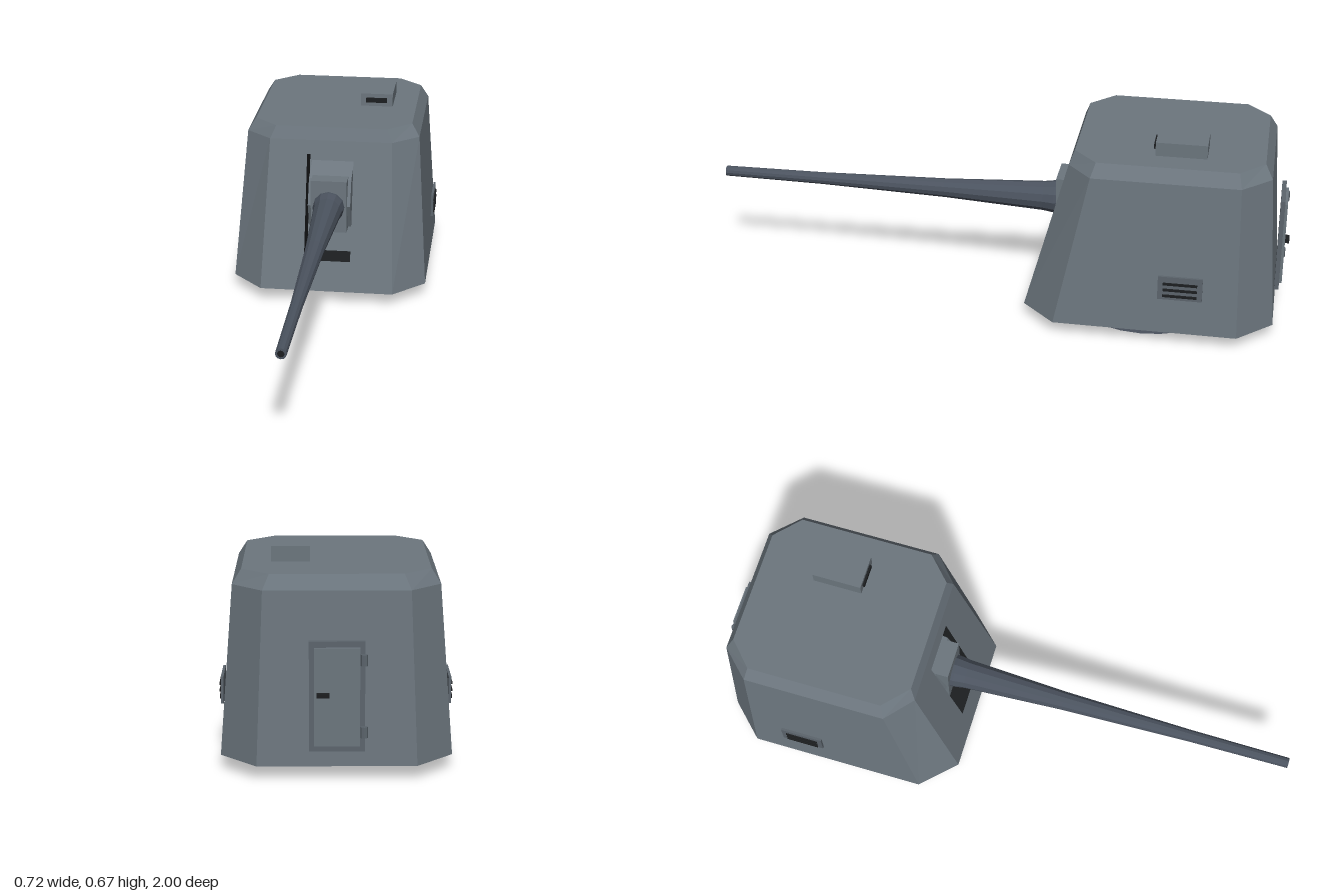
import * as THREE from 'three';

const material = (name, color) => {
  const m = new THREE.MeshStandardMaterial({ color, flatShading: true });
  m.name = name;
  return m;
};

// Flat triangles from quads whose corners run counter-clockwise from outside
function quadGeometry(quads) {
  const pos = [];
  for (const [a, b, c, d] of quads) pos.push(...a, ...b, ...c, ...a, ...c, ...d);
  const g = new THREE.BufferGeometry();
  g.setAttribute('position', new THREE.Float32BufferAttribute(pos, 3));
  g.computeVertexNormals();
  return g;
}

export function createModel() {
  const root = new THREE.Group();
  const armour = material('armour grey', 0x6c767e);
  const gun = material('gun steel', 0x4b535f);
  const fitting = material('fitting grey', 0x5c656d);
  const dark = material('dark opening', 0x1c1e20);

  const add = (name, geometry, mat, parent = root) => {
    const mesh = new THREE.Mesh(geometry, mat);
    mesh.name = name;
    parent.add(mesh);
    return mesh;
  };
  // Box given by its minimum and maximum corners
  const box = (name, mat, [x0, y0, z0], [x1, y1, z1], parent) => {
    const mesh = add(name, new THREE.BoxGeometry(x1 - x0, y1 - y0, z1 - z0), mat, parent);
    mesh.position.set((x0 + x1) / 2, (y0 + y1) / 2, (z0 + z1) / 2);
    return mesh;
  };

  // Turret ring
  const ring = add('baseRing', new THREE.CylinderGeometry(0.285, 0.297, 0.05, 28), gun);
  ring.position.set(0, 0.025, -0.527);

  // Gunhouse: three chamfered cross-sections
  const section = (y, side, cham, front, frontSide, back, backSide) => [
    [cham, y, front], [side, y, frontSide], [side, y, backSide], [cham, y, back],
    [-cham, y, back], [-side, y, backSide], [-side, y, frontSide], [-cham, y, front],
  ];
  const rings = [
    section(0.045, 0.352, 0.24, -0.12, -0.235, -0.965, -0.85),
    section(0.573, 0.313, 0.22, -0.263, -0.345, -0.93, -0.835),
    section(0.618, 0.285, 0.20, -0.28, -0.36, -0.905, -0.825),
  ];
  const quads = [];
  for (let k = 0; k < 2; k++) {
    for (let i = 0; i < 8; i++) {
      if (k === 0 && i === 7) continue; // front plate is cut separately
      const j = (i + 1) % 8;
      quads.push([rings[k][i], rings[k][j], rings[k + 1][j], rings[k + 1][i]]);
    }
  }
  for (const i of [0, 2, 4]) {
    const pick = (r) => [r[0], r[i + 1], r[i + 2], r[(i + 3) % 8]];
    quads.push(pick(rings[2]), pick(rings[0]).reverse());
  }
  add('gunhouse', quadGeometry(quads), armour);

  // Sloping front plate with the gun opening
  const slopeZ = (y) => -0.12 - (y - 0.045) * (0.143 / 0.528);
  const plate = new THREE.Shape([
    new THREE.Vector2(-0.24, 0.045), new THREE.Vector2(0.24, 0.045),
    new THREE.Vector2(0.22, 0.573), new THREE.Vector2(-0.22, 0.573),
  ]);
  const opening = [[-0.084, 0.152], [0.084, 0.152], [0.084, 0.524], [-0.084, 0.524]];
  plate.holes.push(new THREE.Path(opening.map(([x, y]) => new THREE.Vector2(x, y))));
  const plateGeo = new THREE.ShapeGeometry(plate);
  const p = plateGeo.attributes.position;
  for (let i = 0; i < p.count; i++) p.setZ(i, slopeZ(p.getY(i)));
  plateGeo.computeVertexNormals();
  add('frontPlate', plateGeo, armour);

  // Recess behind the opening
  const rim = opening.map(([x, y]) => [x, y, slopeZ(y)]);
  const rear = rim.map(([x, y, z]) => [x, y, z - 0.1]);
  add('recessWalls', quadGeometry(rim.map((a, i) => {
    const j = (i + 1) % 4;
    return [a, rim[j], rear[j], rear[i]];
  })), dark);
  add('recessBack', quadGeometry([rear]), armour);

  // Gun cradle: eight-sided trunnion drum and shield block
  const drumGeo = new THREE.CylinderGeometry(0.128, 0.128, 0.154, 8);
  drumGeo.rotateZ(Math.PI / 2);
  add('trunnionDrum', drumGeo, armour).position.set(0, 0.343, -0.335);
  box('gunShield', armour, [-0.065, 0.245, -0.32], [0.065, 0.44, -0.2]);

  // Tapered barrel
  const profile = [[0.057, -0.3], [0.057, -0.19], [0.051, -0.15], [0.033, 0.2],
    [0.021, 0.65], [0.018, 1], [0, 1]].map(([r, z]) => new THREE.Vector2(r, z));
  const barrelGeo = new THREE.LatheGeometry(profile, 12);
  barrelGeo.rotateX(Math.PI / 2);
  add('barrel', barrelGeo, gun).position.y = 0.343;
  add('bore', new THREE.CircleGeometry(0.011, 12), dark).position.set(0, 0.343, 1.001);

  // Roof sight hood
  box('sightHood', armour, [0.08, 0.61, -0.715], [0.198, 0.665, -0.545]);
  box('sightSlot', dark, [0.1, 0.633, -0.547], [0.177, 0.65, -0.538]);

  // Louvred vents on both sides
  for (const s of [1, -1]) {
    const vent = new THREE.Group();
    vent.name = s > 0 ? 'leftVent' : 'rightVent';
    const range = (a, b) => (s > 0 ? [a, b] : [-b, -a]);
    const [x0, x1] = range(0.348, 0.356);
    box('ventPlate', fitting, [x0, 0.173, -0.73], [x1, 0.257, -0.583], vent);
    const [l0, l1] = range(0.355, 0.361);
    for (const y of [0.188, 0.21, 0.232]) {
      box('ventSlat', dark, [l0, y - 0.004, -0.713], [l1, y + 0.004, -0.6], vent);
    }
    root.add(vent);
  }

  // Rear door with hinges and handle
  const door = new THREE.Group();
  door.name = 'rearDoor';
  box('doorFrame', fitting, [-0.083, 0.095, -0.977], [0.083, 0.43, -0.962], door);
  box('doorPanel', armour, [-0.068, 0.113, -0.986], [0.068, 0.412, -0.976], door);
  for (const y of [0.155, 0.375]) {
    const hinge = add('hinge', new THREE.CylinderGeometry(0.011, 0.011, 0.034, 8), fitting, door);
    hinge.position.set(-0.08, y, -0.98);
  }
  box('doorHandle', dark, [0.022, 0.264, -1], [0.06, 0.277, -0.985], door);
  root.add(door);

  return root;
}
